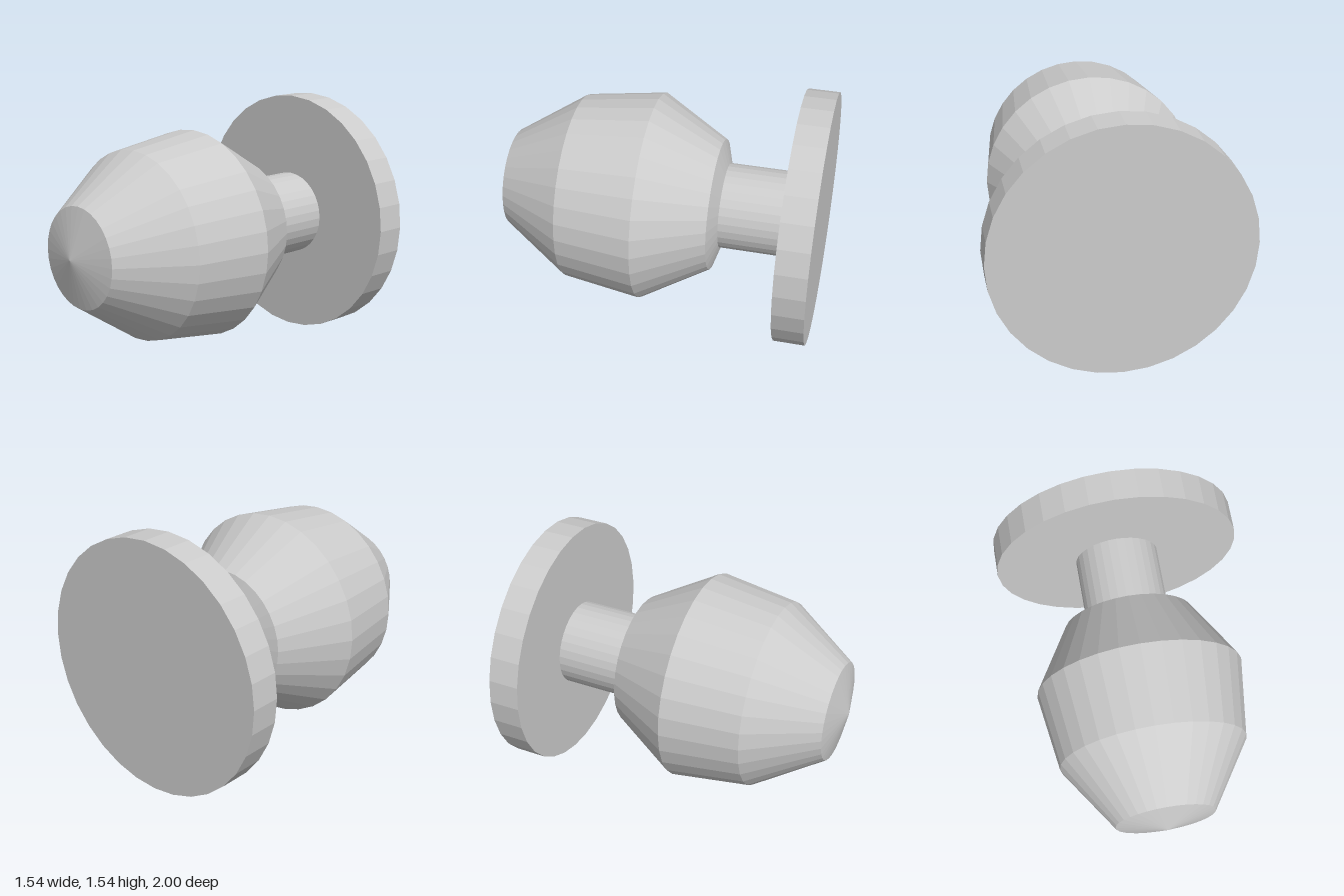
import * as THREE from 'three';

const SIDES = 32;
const PLATE_RADIUS = 0.77;

export function createModel() {
  const model = new THREE.Group();
  model.name = 'doorKnob';
  const material = new THREE.MeshStandardMaterial({ color: 0xcccccc, flatShading: true });

  // Turns a [radius, z] profile, listed back to front, around the z axis
  function turned(name, profile) {
    const points = profile.map(([r, z]) => new THREE.Vector2(r, z));
    const geometry = new THREE.LatheGeometry(points, SIDES);
    geometry.rotateX(Math.PI / 2);
    const mesh = new THREE.Mesh(geometry, material);
    mesh.name = name;
    mesh.position.y = PLATE_RADIUS;
    model.add(mesh);
  }

  // Round mounting plate at the back
  turned('mountingPlate', [[0, -1], [PLATE_RADIUS, -1], [PLATE_RADIUS, -0.81], [0, -0.81]]);

  // Straight neck between plate and grip
  turned('neck', [[0.262, -0.81], [0.262, -0.4]]);

  // Barrel-shaped grip with a shallow pointed tip
  turned('grip', [
    [0.262, -0.4], [0.405, -0.355], [0.64, 0.05],
    [0.573, 0.525], [0.303, 0.933], [0, 1],
  ]);

  return model;
}
